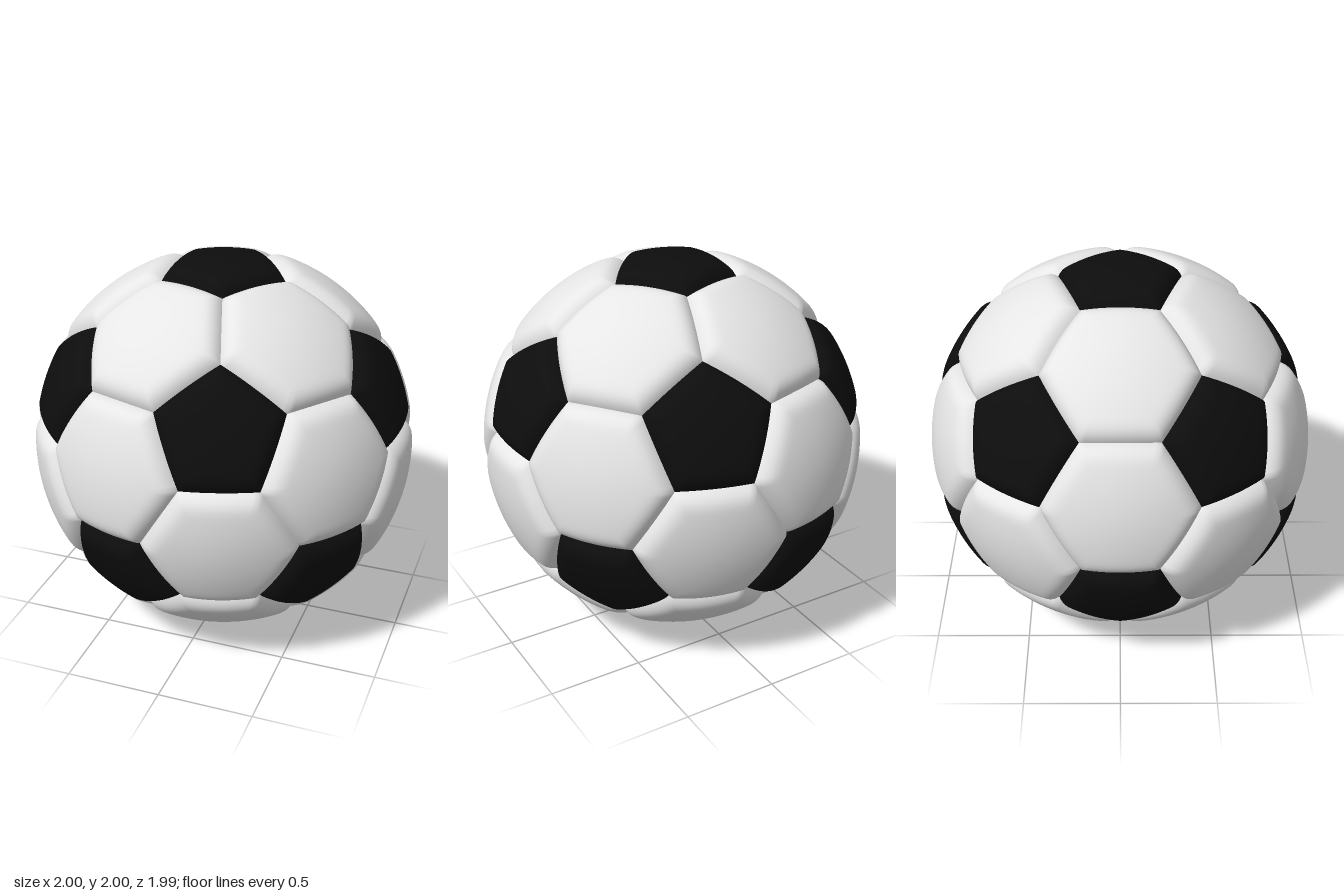
import * as THREE from 'three';

const SEAM_RADIUS = 0.948;   // radius at the stitched seams
const PUFF = 0.052;          // how far a panel bulges above the seam
const EDGE = 0.12;           // width of the rounded panel rim
const RINGS = 18, STEPS = 14;

// Twelve icosahedron vertices, one straight up
function icosahedronVertices() {
  const list = [new THREE.Vector3(0, 1, 0), new THREE.Vector3(0, -1, 0)];
  const y = 1 / Math.sqrt(5), r = 2 * y;
  for (let i = 0; i < 5; i++) {
    const a = i * Math.PI * 0.4, b = a + Math.PI / 5;
    list.push(new THREE.Vector3(r * Math.cos(a), y, r * Math.sin(a)));
    list.push(new THREE.Vector3(r * Math.cos(b), -y, r * Math.sin(b)));
  }
  return list;
}

// Corners in counter-clockwise order seen from outside
function sortAround(center, corners) {
  const u = corners[0].clone().addScaledVector(center, -corners[0].dot(center)).normalize();
  const v = center.clone().cross(u);
  const angle = (p) => Math.atan2(p.dot(v), p.dot(u));
  return corners.sort((a, b) => angle(a) - angle(b));
}

// Puffed spherical panel made of rings from the centre to the seam
function panelGeometry(center, corners) {
  const n = corners.length, count = n * STEPS;
  const positions = [], index = [];
  const add = (p, distance) => {
    const t = Math.min(distance / EDGE, 1);
    p.multiplyScalar(SEAM_RADIUS + PUFF * (1 - (1 - t) ** 3));
    positions.push(p.x, p.y + 1, p.z);
  };
  add(center.clone(), 1);
  for (let k = 1; k <= RINGS; k++) {
    const s = 1 - (1 - k / RINGS) ** 1.7;   // finer rings near the rim
    for (let e = 0; e < n; e++) {
      const a = corners[e], b = corners[(e + 1) % n];
      const edgeNormal = a.clone().cross(b).normalize();
      for (let j = 0; j < STEPS; j++) {
        const p = a.clone().lerp(b, j / STEPS);
        p.lerpVectors(center, p, s).normalize();
        add(p, Math.asin(Math.max(0, p.dot(edgeNormal))));
      }
    }
  }
  for (let i = 0; i < count; i++) {
    const next = (i + 1) % count;
    index.push(0, 1 + i, 1 + next);
    for (let k = 0; k < RINGS - 1; k++) {
      const p = 1 + k * count, q = p + count;
      index.push(p + i, q + i, q + next, p + i, q + next, p + next);
    }
  }
  const geometry = new THREE.BufferGeometry();
  geometry.setAttribute('position', new THREE.Float32BufferAttribute(positions, 3));
  geometry.setIndex(index);
  geometry.computeVertexNormals();
  return geometry;
}

export function createModel() {
  const white = new THREE.MeshStandardMaterial({ color: 0xe6e6e6 });
  white.name = 'white leather';
  const black = new THREE.MeshStandardMaterial({ color: 0x0d0d0d });
  black.name = 'black leather';

  const ball = new THREE.Group();
  ball.name = 'football';
  const V = icosahedronVertices();
  const adjacent = (a, b) => a !== b && V[a].dot(V[b]) > 0.4;
  // Seam corner one third of the way from a to b
  const corner = (a, b) => V[a].clone().lerp(V[b], 1 / 3).normalize();

  const addPanel = (name, material, center, corners) => {
    const mesh = new THREE.Mesh(panelGeometry(center, sortAround(center, corners)), material);
    mesh.name = name;
    ball.add(mesh);
  };

  for (let a = 0; a < 12; a++) {
    // Black pentagon at each icosahedron vertex
    const neighbours = V.map((_, b) => b).filter((b) => adjacent(a, b));
    addPanel('pentagonPanel', black, V[a].clone(), neighbours.map((b) => corner(a, b)));

    // White hexagon on each icosahedron face
    for (let b = a + 1; b < 12; b++) {
      for (let c = b + 1; c < 12; c++) {
        if (!adjacent(a, b) || !adjacent(b, c) || !adjacent(a, c)) continue;
        const center = V[a].clone().add(V[b]).add(V[c]).normalize();
        addPanel('hexagonPanel', white, center, [
          corner(a, b), corner(b, a), corner(b, c), corner(c, b), corner(c, a), corner(a, c),
        ]);
      }
    }
  }
  return ball;
}
